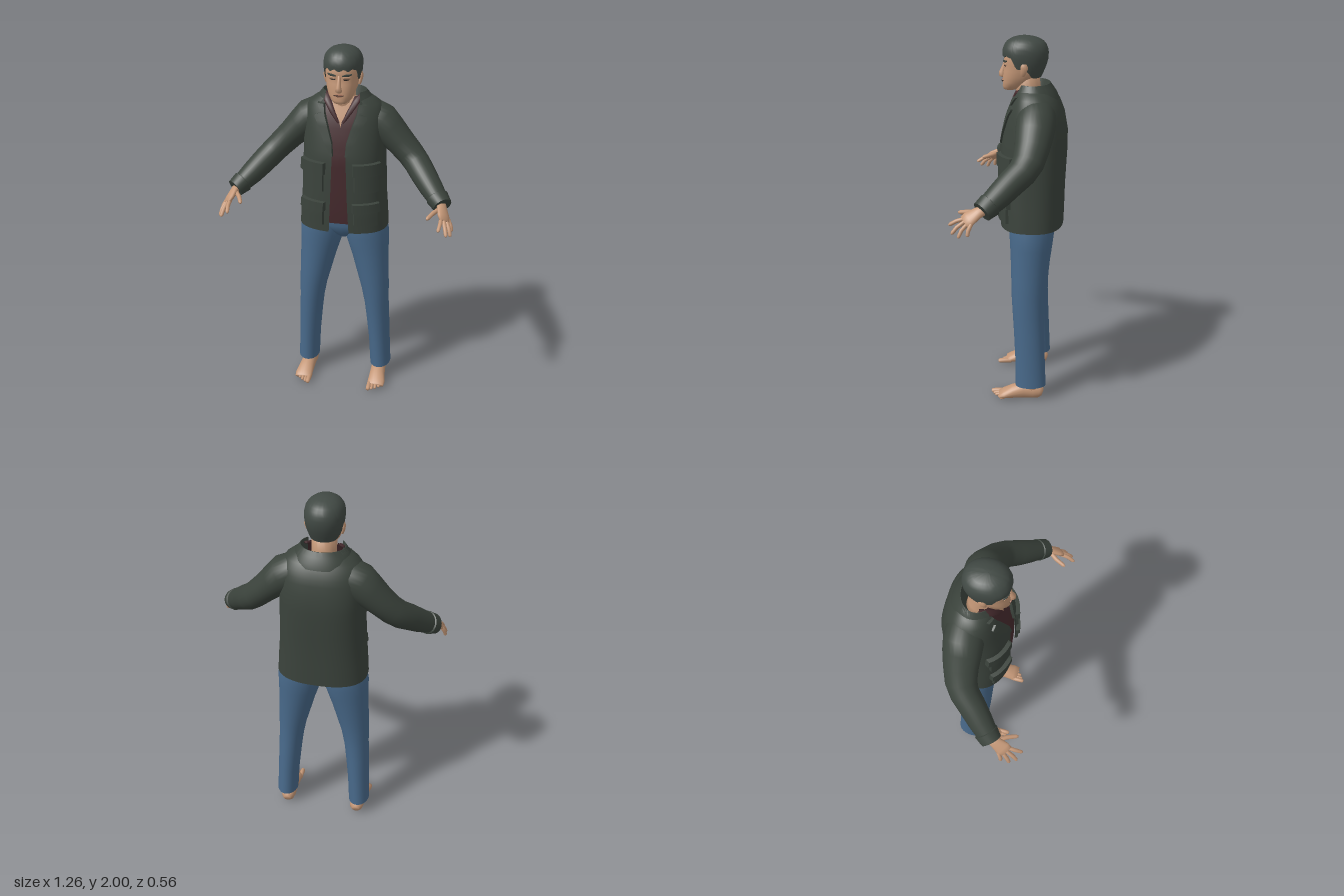
import * as THREE from 'three';
import { toCreasedNormals } from 'three/addons/utils/BufferGeometryUtils.js';

const V = (x, y, z) => new THREE.Vector3(x, y, z);
const mat = (name, color, side = THREE.FrontSide) =>
  Object.assign(new THREE.MeshStandardMaterial({ color, side }), { name });

// Linear lookup in rows that start with a rising height
function at(rows, y) {
  if (y <= rows[0][0]) return rows[0];
  for (let i = 1; i < rows.length; i++) {
    const a = rows[i - 1], b = rows[i];
    if (y <= b[0]) return a.map((v, k) => v + (b[k] - v) * (y - a[0]) / (b[0] - a[0]));
  }
  return rows[rows.length - 1];
}

// Skin over a list of rings
function skin(rings, closed = true) {
  const n = rings[0].length, pos = [], idx = [];
  rings.forEach(r => r.forEach(p => pos.push(p.x, p.y, p.z)));
  for (let i = 0; i < rings.length - 1; i++) for (let j = 0; j < (closed ? n : n - 1); j++) {
    const a = i * n + j, b = i * n + (j + 1) % n, c = b + n, d = a + n;
    idx.push(a, d, c, a, c, b);
  }
  const g = new THREE.BufferGeometry();
  g.setAttribute('position', new THREE.Float32BufferAttribute(pos, 3));
  g.setIndex(idx);
  g.computeVertexNormals();
  return g;
}
const flip = rings => rings.map(r => r.map(p => V(-p.x, p.y, p.z)).reverse());

// Body section rows: [y, half width, front z, back z, squareness]
function surf(rows, t, y) {
  const [, rx, zf, zb, n] = at(rows, y), c = Math.cos(t), s = Math.sin(t);
  const e = v => Math.sign(v) * Math.abs(v) ** (2 / n);
  return V(rx * e(c), y, (zf + zb) / 2 + (zf - zb) / 2 * e(s));
}
const loop = (rows, ys, seg = 40) => ys.map(y =>
  Array.from({ length: seg }, (_, j) => surf(rows, j / seg * Math.PI * 2, y)));

// Section wrapped round the back, leaving a gap of half width gap[y] in front
const wrap = (rows, ys, gap, seg = 56) => ys.map(y => {
  const r = at(rows, y), t0 = Math.acos(Math.min(1, at(gap, y)[1] / r[1]) ** (r[4] / 2));
  return Array.from({ length: seg + 1 }, (_, j) =>
    surf(rows, Math.PI - t0 + (Math.PI + 2 * t0) * j / seg, y));
});

// Thin raised panel on the front of a body: edges [y, x min, x max], height d
function panel(rows, edges, d, sunk = 0.004) {
  const y0 = edges[0][0], y1 = edges[edges.length - 1][0], h = y1 - y0;
  const f = [0, .04, .15, .3, .45, .6, .75, .88, .96, 1];
  const vs = h > .2 ? [0, .02, ...Array.from({ length: 18 }, (_, i) => .07 + i * .05), .98, 1] : f;
  return vs.map(v => f.map(u => {
    const y = y0 + h * v, [, xa, xb] = at(edges, y), x = xb + (xa - xb) * u;
    const [, rx, zf, zb, n] = at(rows, y), rz = (zf - zb) / 2;
    const q = Math.max(0, 1 - Math.abs(x / rx) ** n) ** (1 / n);
    const dir = V(x / rx / rx, 0, q / rz).normalize();
    const rim = u === 0 || u === 1 || v === 0 || v === 1;
    return V(x, y, (zf + zb) / 2 + rz * q).addScaledVector(dir, rim ? Math.min(d, 0) - sunk : d);
  }));
}

// Capped limb through [x, y, z, radius along ref, other radius]
function limb(pts, ref = V(1, 0, 0), seg = 20) {
  const c = pts.map(p => V(p[0], p[1], p[2]));
  const rings = pts.map((p, i) => {
    const T = c[Math.min(i + 1, c.length - 1)].clone().sub(c[Math.max(i - 1, 0)]).normalize();
    const A = ref.clone().addScaledVector(T, -ref.dot(T)).normalize(), B = A.clone().cross(T);
    return Array.from({ length: seg }, (_, j) => {
      const t = j / seg * Math.PI * 2;
      return c[i].clone().addScaledVector(A, p[3] * Math.cos(t)).addScaledVector(B, p[4] * Math.sin(t));
    });
  });
  const cap = p => Array.from({ length: seg }, () => p.clone());
  return [cap(c[0]), ...rings, cap(c[c.length - 1])];
}
// Rounded finger or toe
const digit = (pts, r) => {
  const a = pts[pts.length - 2], b = pts[pts.length - 1];
  const near = b.map((v, k) => a[k] + (v - a[k]) * .8);
  return limb([...pts.slice(0, -1).map(p => [...p, r, r]), [...near, r * .9, r * .9], [...b, r * .45, r * .45]],
    V(1, .1, 0), 10);
};

export function createModel() {
  const root = new THREE.Group();
  root.name = 'standingMan';
  const skinTone = mat('skin', 0xc49777), lipTone = mat('lips', 0xa06f5a), dark = mat('eyeDark', 0x2e2622);
  const hairTone = mat('hair', 0x414944), jacketTone = mat('jacketCloth', 0x3b433c, THREE.DoubleSide);
  const shirtTone = mat('shirtCloth', 0x452a2d, THREE.DoubleSide), denim = mat('denim', 0x48698a);

  const add = (name, rings, m, closed = true, crease = 0) => {
    let g = skin(rings, closed);
    if (crease) g = toCreasedNormals(g, crease);
    const mesh = new THREE.Mesh(g, m);
    mesh.name = name;
    root.add(mesh);
  };
  const pair = (name, rings, m, closed = true, crease = 0) => {
    add(name + 'Left', rings, m, closed, crease);
    add(name + 'Right', flip(rings), m, closed, crease);
  };

  // Jacket body
  const torso = [[.99, .245, .075, -.265, 2.5], [1.1, .238, .08, -.268, 2.5], [1.2, .23, .08, -.27, 2.5],
    [1.4, .223, .075, -.28, 2.5], [1.5, .222, .058, -.28, 2.5], [1.6, .218, .035, -.262, 2.5],
    [1.66, .207, .015, -.238, 2.4], [1.69, .188, .005, -.218, 2.3], [1.715, .155, -.002, -.2, 2.2],
    [1.735, .122, -.01, -.185, 2]];
  const gap = [[.99, .055], [1.2, .045], [1.45, .036], [1.6, .072], [1.7, .095], [1.76, .09]];
  const ys = [.99, 1.02, 1.1, 1.2, 1.3, 1.4, 1.45, 1.5, 1.55, 1.6, 1.63, 1.66, 1.69, 1.715, 1.735];
  add('jacketBody', wrap(torso, ys, gap), jacketTone, false);

  // Folded collar: outer fall, then the inside
  const fall = [[1.675, .17, .022, -.232, 2.1], [1.70, .158, .014, -.222, 2.1], [1.73, .136, 0, -.203, 2], [1.755, .117, -.008, -.186, 2]];
  const inner = [[1.68, .1, -.01, -.16, 2], [1.755, .114, -.01, -.183, 2]];
  add('collar', [...wrap(fall, [1.675, 1.70, 1.73, 1.755], gap), ...wrap(inner, [1.755, 1.68], gap)], jacketTone, false, .9);

  // Lapels, pockets and flaps
  pair('lapel', panel(torso, [[1.43, .032, .04], [1.5, .036, .078], [1.6, .066, .122], [1.635, .078, .145],
    [1.65, .083, .105], [1.70, .09, .13]], .011), jacketTone, false, .8);
  for (const [y0, y1, y2, y3] of [[1.225, 1.37, 1.325, 1.395], [1.03, 1.15, 1.115, 1.17]]) {
    pair('pocket', panel(torso, [[y0, .08, .205], [y1, .08, .2]], .013), jacketTone, false, .8);
    pair('pocketFlap', panel(torso, [[y2, .072, .212], [y3, .07, .206]], .022), jacketTone, false, .8);
  }

  // Shirt with open neck, bare chest beneath it
  pair('shirtFront', panel(torso, [[1.04, -.001, .1], [1.595, -.001, .11], [1.65, .03, .13], [1.735, .068, .118]], -.012, 0), shirtTone, false);
  add('chest', panel(torso, [[1.56, -.05, .05], [1.735, -.1, .1]], -.018, 0), skinTone, false);
  pair('shirtCollar', limb([[.012, 1.60, .018, .006, .006], [.045, 1.66, .012, .014, .007],
    [.078, 1.715, -.015, .018, .007], [.095, 1.738, -.07, .012, .007]], V(1, 0, 0), 10), shirtTone);

  // Sleeves and cuffs
  const up = V(.7, .7, 0);
  pair('sleeve', limb([[.09, 1.605, -.125, .075, .09], [.145, 1.60, -.125, .098, .1], [.195, 1.575, -.124, .1, .103],
    [.24, 1.535, -.12, .087, .1], [.30, 1.475, -.112, .076, .09], [.36, 1.415, -.096, .071, .082],
    [.4, 1.375, -.068, .069, .076], [.44, 1.335, -.02, .067, .072], [.49, 1.285, .035, .061, .066],
    [.535, 1.243, .085, .051, .057], [.558, 1.224, .11, .046, .052]], up, 28), jacketTone);
  pair('cuff', limb([[.526, 1.252, .073, .05, .056], [.53, 1.248, .078, .059, .064], [.562, 1.222, .114, .05, .056],
    [.562, 1.222, .114, .04, .045]], up, 24), jacketTone, true, .7);

  // Hands
  pair('palm', limb([[.55, 1.234, .098, .027, .023], [.562, 1.215, .135, .032, .02], [.577, 1.188, .178, .042, .017],
    [.584, 1.174, .2, .037, .011]], V(.05, -.03, -.08)), skinTone);
  for (const f of [[[.566, 1.186, .195], [.566, 1.172, .24], [.56, 1.148, .28]],
    [[.58, 1.176, .195], [.592, 1.148, .235], [.601, 1.115, .262]],
    [[.592, 1.17, .18], [.61, 1.138, .21], [.62, 1.102, .226]],
    [[.6, 1.168, .162], [.615, 1.14, .176], [.622, 1.112, .18]]]) pair('finger', digit(f, .0105), skinTone);
  pair('thumb', digit([[.556, 1.218, .135], [.52, 1.205, .185], [.496, 1.194, .24]], .012), skinTone);

  // Trousers
  add('trouserSeat', loop([[.91, .03, -.04, -.16, 2], [.95, .12, -.005, -.2, 2], [1.0, .205, .02, -.222, 2.2], [1.08, .2, .02, -.22, 2.2]],
    [.91, .93, .95, 1.0, 1.08]), denim);
  pair('trouserLeg', limb([[.118, 1.07, -.1, .11, .112], [.12, 1.0, -.1, .119, .122], [.129, .93, -.099, .122, .118],
    [.139, .87, -.097, .113, .112], [.15, .8, -.094, .102, .105], [.165, .7, -.09, .09, .097], [.18, .6, -.087, .078, .09],
    [.19, .5, -.089, .069, .085], [.198, .4, -.094, .065, .083], [.208, .25, -.101, .06, .082],
    [.216, .085, -.106, .059, .084], [.216, .083, -.106, .05, .07]], V(1, 0, 0), 28), denim, true, .9);

  // Feet
  pair('ankle', limb([[.209, .04, -.112, .036, .044], [.211, .16, -.108, .04, .048]]), skinTone);
  pair('foot', limb([[.208, .036, -.172, .022, .022], [.208, .042, -.155, .036, .039], [.208, .046, -.12, .041, .046],
    [.21, .048, -.07, .041, .048], [.213, .038, -.01, .045, .038], [.217, .026, .04, .05, .025],
    [.217, .018, .068, .047, .014]]), skinTone);
  for (let i = 0; i < 5; i++) {
    const x = .18 + i * .0185, z = .117 - i * .012 - (i > 2 ? .006 : 0), r = i ? .0095 : .0135;
    pair('toe', digit([[x, .02, .04], [x, .018, z - .025], [x, r + .001, z]], r), skinTone);
  }

  // Neck and head
  add('neck', limb([[0, 1.58, -.095, .075, .07], [0, 1.66, -.085, .068, .068], [0, 1.72, -.07, .064, .066], [0, 1.80, -.06, .066, .066]]), skinTone);
  const head = [[1.712, .012, .045, .01, 2], [1.718, .034, .06, -.01, 2.2], [1.735, .052, .066, -.04, 2.2], [1.76, .068, .064, -.08, 2.2],
    [1.79, .079, .063, -.12, 2.3], [1.82, .085, .059, -.14, 2.3], [1.85, .088, .053, -.15, 2.4], [1.87, .09, .059, -.155, 2.3],
    [1.91, .09, .055, -.155, 2.2], [1.95, .078, .035, -.14, 2], [1.98, .04, 0, -.1, 2]];
  add('head', loop(head, head.map(r => r[0])), skinTone);
  add('nose', limb([[0, 1.868, .05, .008, .008], [0, 1.835, .057, .01, .013], [0, 1.805, .068, .014, .017],
    [0, 1.792, .07, .018, .017], [0, 1.783, .06, .014, .008]], V(1, 0, 0), 14), skinTone);
  add('mouth', panel(head, [[1.757, -.012, .012], [1.764, -.026, .026], [1.771, -.014, .014]], .005), lipTone, false);
  add('mouthLine', panel(head, [[1.763, -.026, .026], [1.766, -.026, .026]], .007), dark, false);
  pair('eye', panel(head, [[1.842, .024, .044], [1.847, .019, .053], [1.852, .025, .046]], .003), dark, false);
  pair('eyelid', panel(head, [[1.849, .018, .056], [1.859, .02, .054]], .006), skinTone, false);
  pair('eyebrow', panel(head, [[1.863, .014, .045], [1.87, .016, .062], [1.875, .035, .062]], .005), hairTone, false);
  pair('ear', limb([[.086, 1.80, -.045, .007, .01], [.092, 1.82, -.05, .009, .016], [.096, 1.845, -.055, .01, .021],
    [.094, 1.865, -.055, .006, .013]], V(1, 0, 0), 14), skinTone);

  // Hair cap with a fringe, sideburns and a longer back
  const hair = [[1.78, .076, .045, -.135, 2.1], [1.84, .094, .056, -.162, 2.2], [1.88, .1, .064, -.173, 2.2], [1.92, .102, .068, -.175, 2.2],
    [1.95, .095, .058, -.166, 2.1], [1.97, .082, .043, -.15, 2], [1.985, .062, .02, -.125, 2], [1.995, .036, -.01, -.092, 2], [2, .001, -.045, -.047, 2]];
  const hem = t => {
    const s = Math.sin(t), k = THREE.MathUtils.smoothstep;
    return 1.785 + .05 * k(s, -.6, .05) + .06 * k(s, .3, .6) + .006 * Math.cos(t * 14) * k(s, .5, .8);
  };
  const levels = [0, 0, .15, .3, .45, .6, .7, .79, .86, .92, .96, .985, 1];
  add('hair', levels.map((v, i) => Array.from({ length: 64 }, (_, j) => {
    const t = j / 64 * Math.PI * 2, y0 = hem(t), p = surf(hair, t, y0 + (2 - y0) * v);
    // first ring tucks the lower edge under the hair
    return i ? p : V(p.x * .82, p.y + .004, (p.z + .05) * .82 - .05);
  })), hairTone, true, .9);

  return root;
}
